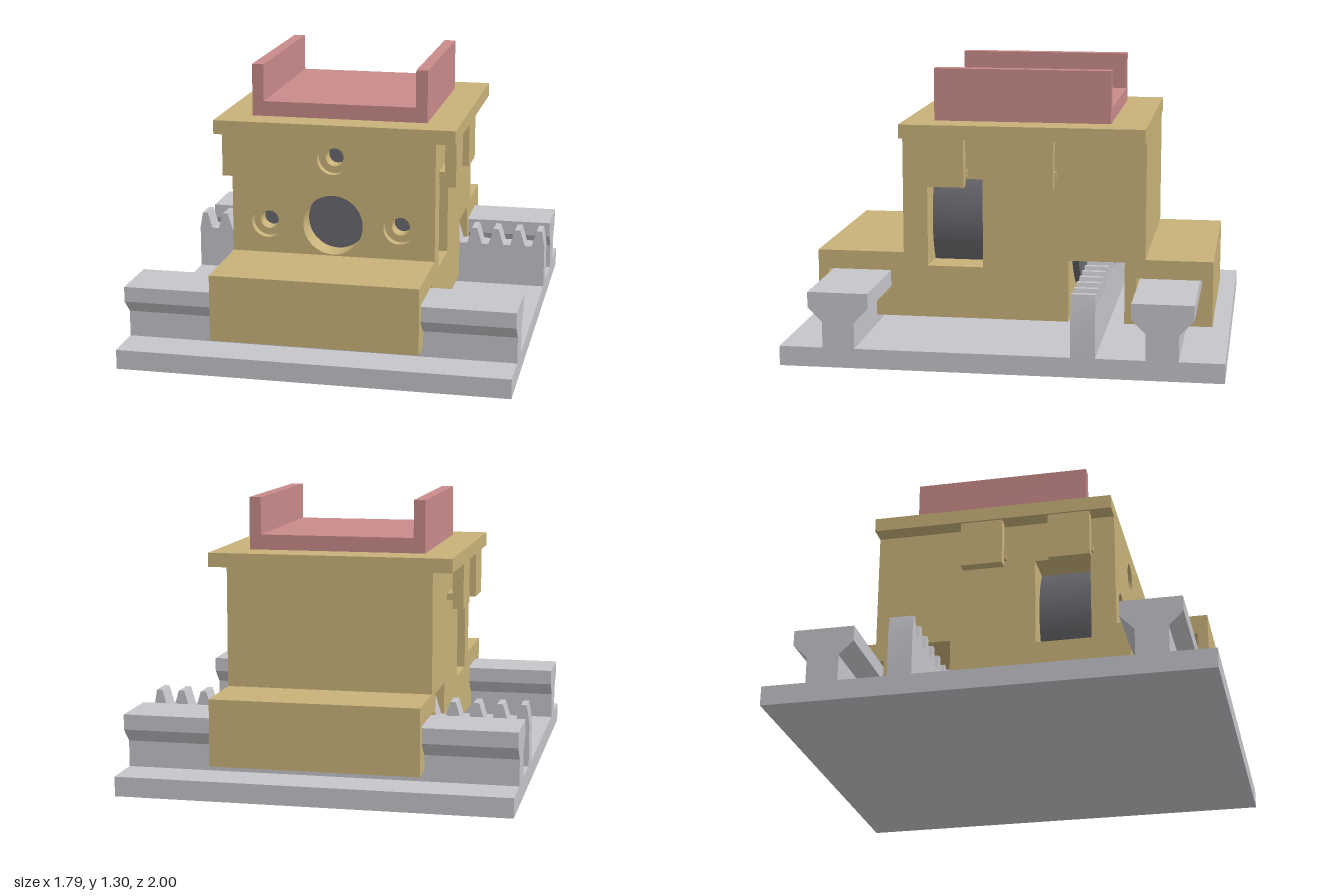
import * as THREE from 'three';
import { toCreasedNormals } from 'three/addons/utils/BufferGeometryUtils.js';

export function createModel() {
  const model = new THREE.Group();
  const material = (name, color) => {
    const m = new THREE.MeshStandardMaterial({ color });
    m.name = name;
    return m;
  };
  const grey = material('light grey', 0xc5c5ca);
  const tan = material('tan', 0xc8b27a);
  const pink = material('pink', 0xc98a8a);
  const dark = material('dark grey', 0x69696e);

  const add = (name, geometry, mat, parent = model) => {
    const mesh = new THREE.Mesh(geometry, mat);
    mesh.name = name;
    parent.add(mesh);
    return mesh;
  };
  const group = (name) => {
    const g = new THREE.Group();
    g.name = name;
    model.add(g);
    return g;
  };
  // box from its limits
  const box = (x0, x1, y0, y1, z0, z1) =>
    new THREE.BoxGeometry(x1 - x0, y1 - y0, z1 - z0)
      .translate((x0 + x1) / 2, (y0 + y1) / 2, (z0 + z1) / 2);
  const shapeOf = (points) => new THREE.Shape(points.map(([a, b]) => new THREE.Vector2(a, b)));
  // outline in x, y pushed along z
  const extrudeZ = (shape, z0, z1) => toCreasedNormals(
    new THREE.ExtrudeGeometry(shape, { depth: z1 - z0, bevelEnabled: false, curveSegments: 32 }),
    0.5).translate(0, 0, z0);
  // outline in z, y pushed along x
  const extrudeX = (points, x0, x1) =>
    new THREE.ExtrudeGeometry(shapeOf(points), { depth: x1 - x0, bevelEnabled: false })
      .rotateY(-Math.PI / 2).translate(x1, 0, 0);

  // Base plate and two dovetail rails
  const L = 0.895;
  add('basePlate', box(-L, L, 0, 0.09, -1, 1), grey);
  for (const c of [0.727, -0.725]) {
    add(c > 0 ? 'frontRail' : 'backRail', extrudeX([
      [c - 0.073, 0.085], [c + 0.073, 0.085], [c + 0.073, 0.21], [c + 0.138, 0.275],
      [c + 0.138, 0.345], [c - 0.138, 0.345], [c - 0.138, 0.275], [c - 0.073, 0.21],
    ], -L, L), grey);
  }

  // Toothed rack
  const pitch = 0.1085;
  const rack = [[L, 0.085]];
  for (let k = 8; k >= -8; k--) {
    for (const [dx, y] of [[0.037, 0.295], [0.013, 0.375], [-0.013, 0.375], [-0.037, 0.295]]) {
      rack.push([THREE.MathUtils.clamp(k * pitch + dx, -L, L), y]);
    }
  }
  rack.push([-L, 0.085]);
  add('rack', extrudeZ(shapeOf(rack), -0.43, -0.32), grey);

  // Carriage body: a core and two side walls with windows, all slotted for the rails
  const carriage = group('carriage');
  const W = 0.475;
  const slot = (c) => [
    [c - 0.08, 0.14], [c - 0.08, 0.205], [c - 0.15, 0.27], [c - 0.15, 0.357],
    [c + 0.15, 0.357], [c + 0.15, 0.27], [c + 0.08, 0.205], [c + 0.08, 0.14],
  ];
  const bodyProfile = (front) => [
    [-0.925, 0.14], ...slot(-0.725), [-0.52, 0.14], [-0.52, 0.43], [-0.26, 0.43], [-0.26, 0.14],
    ...slot(0.727), [0.925, 0.14], [0.925, 0.445],
    ...front, [-0.615, 0.995], [-0.615, 0.445], [-0.925, 0.445],
  ];
  // the back rail slot leaves a narrow lip beside the rack opening
  add('carriageCore', extrudeX(bodyProfile([[0.35, 0.445], [0.35, 0.995]]), -0.3, 0.3), tan, carriage);
  const windowed = bodyProfile([
    [0.4, 0.445], [0.4, 0.385], [0.14, 0.385], [0.14, 0.8], [0.4, 0.8], [0.4, 0.995],
  ]);
  add('rightSideWall', extrudeX(windowed, -W, -0.3), tan, carriage);
  add('leftSideWall', extrudeX(windowed, 0.3, W), tan, carriage);

  // Front wall with a shaft opening and three counterbored screw holes
  const wall = (screwRadius) => {
    const s = shapeOf([[-W, 0.445], [W, 0.445], [W, 0.995], [-W, 0.995]]);
    for (const [x, y, r] of [[0, 0.591, 0.14], [0, 0.903, screwRadius],
      [-0.31, 0.591, screwRadius], [0.31, 0.591, screwRadius]]) {
      s.holes.push(new THREE.Path().absarc(x, y, r, 0, Math.PI * 2, true));
    }
    return s;
  };
  add('frontWallInner', extrudeZ(wall(0.042), 0.4, 0.475), tan, carriage);
  add('frontWallOuter', extrudeZ(wall(0.074), 0.475, 0.515), tan, carriage);

  // Lid with hanging clips and the catches they hook under
  add('lid', box(-0.563, 0.563, 0.995, 1.06, -0.615, 0.515), tan, carriage);
  for (const s of [-1, 1]) {
    const side = s > 0 ? 'left' : 'right';
    for (const z of [0.313, -0.1]) {
      const x = s * 0.527;
      add(side + 'Clip', box(x - 0.026, x + 0.026, 0.773, 0.996, z - 0.098, z + 0.098), tan, carriage);
      add(side + 'Catch', box(s * 0.488 - 0.015, s * 0.488 + 0.015, 0.815, 0.845, z - 0.104, z + 0.104),
        tan, carriage);
    }
  }

  // Motor and pinion inside the carriage
  const drive = group('drive');
  drive.position.y = 0.591;
  add('motor', new THREE.CylinderGeometry(0.38, 0.38, 0.685, 64)
    .rotateX(Math.PI / 2).translate(0, 0, 0.0525), dark, drive);
  const teeth = 14;
  const gear = [];
  for (let i = 0; i < teeth; i++) {
    // a gap points straight down onto the middle rack tooth
    const mid = -Math.PI / 2 + (i + 0.5) * Math.PI * 2 / teeth;
    for (const [da, r] of [[-0.15, 0.205], [-0.055, 0.275], [0.055, 0.275], [0.15, 0.205]]) {
      gear.push([Math.cos(mid + da) * r, Math.sin(mid + da) * r]);
    }
  }
  add('pinion', extrudeZ(shapeOf(gear), -0.44, -0.3), grey, drive);

  // Tray on top, open at front and back
  add('tray', extrudeZ(shapeOf([
    [-0.412, 1.06], [0.412, 1.06], [0.412, 1.303], [0.358, 1.303],
    [0.358, 1.13], [-0.358, 1.13], [-0.358, 1.303], [-0.412, 1.303],
  ]), -0.445, 0.376), pink);

  return model;
}
